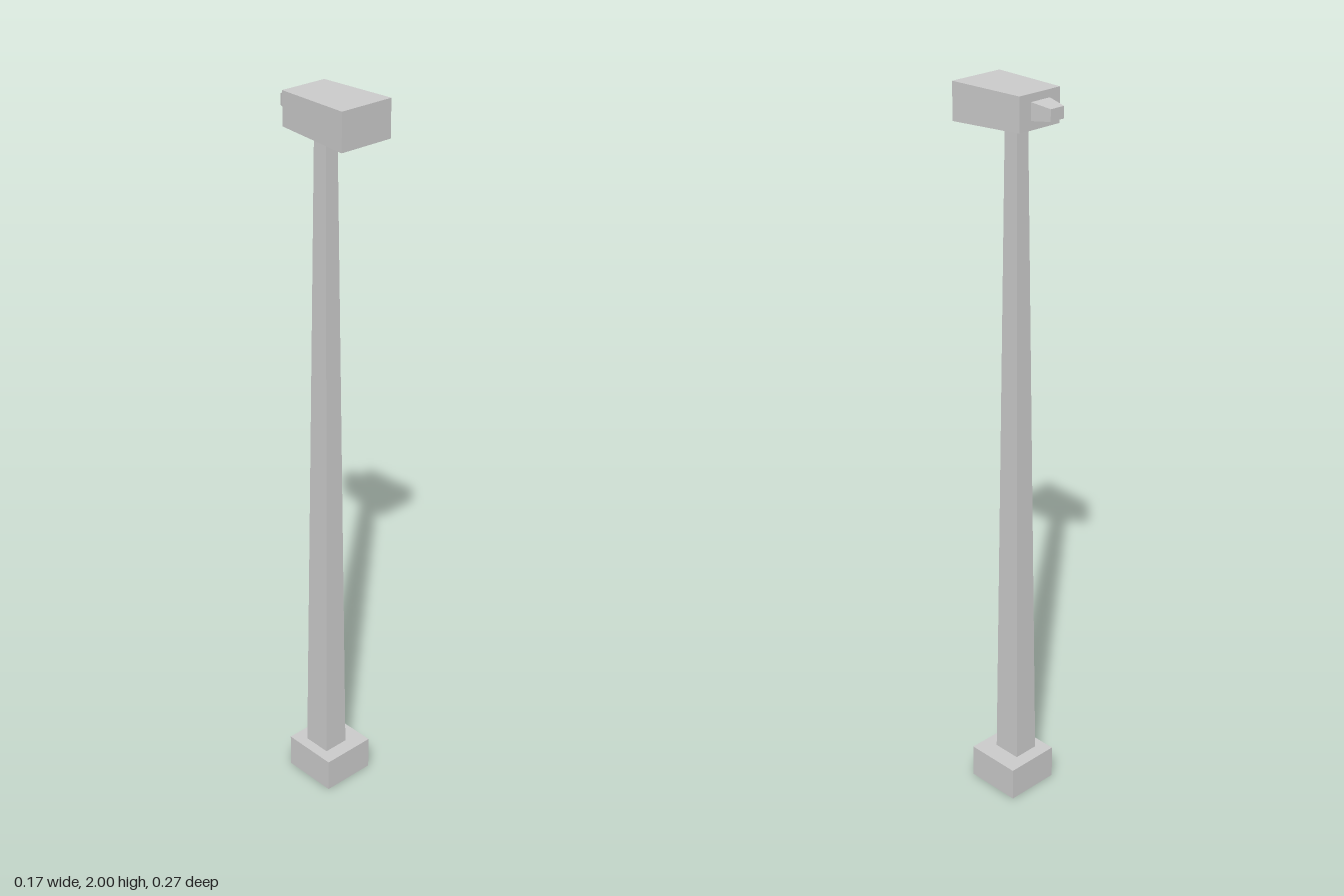
import * as THREE from 'three';

const material = new THREE.MeshStandardMaterial({ color: 0xcccccc, flatShading: true });

// Box whose two end rectangles differ. Each end is [at, uMin, uMax, vMin, vMax]:
// along y the rectangle spans x and z, along z it spans x and y.
function taperedBox(name, axis, low, high) {
  const geometry = new THREE.BoxGeometry(1, 1, 1);
  const p = geometry.attributes.position;
  const other = axis === 'y' ? 'z' : 'y';
  const v = new THREE.Vector3();
  for (let i = 0; i < p.count; i++) {
    v.fromBufferAttribute(p, i);
    const [at, uMin, uMax, vMin, vMax] = v[axis] < 0 ? low : high;
    v.x = v.x < 0 ? uMin : uMax;
    v[other] = v[other] < 0 ? vMin : vMax;
    v[axis] = at;
    p.setXYZ(i, v.x, v.y, v.z);
  }
  geometry.computeVertexNormals();
  const mesh = new THREE.Mesh(geometry, material);
  mesh.name = name;
  return mesh;
}

export function createModel() {
  const group = new THREE.Group();
  group.name = 'mallet';
  group.add(
    // Block at the foot of the shaft
    taperedBox('base', 'y', [0, -0.073, 0.084, -0.083, 0.078], [0.096, -0.073, 0.084, -0.083, 0.078]),
    // Long shaft, narrowing upwards into the head
    taperedBox('shaft', 'y', [0.09, -0.043, 0.031, -0.045, 0.037], [1.92, -0.024, 0.013, -0.026, 0.016]),
    // Head, slightly larger at the front
    taperedBox('head', 'z', [-0.081, -0.075, 0.06, 1.912, 2], [0.137, -0.087, 0.071, 1.902, 2]),
    // Small tapered stub on the back of the head
    taperedBox('backStub', 'z', [-0.137, -0.031, 0.013, 1.942, 1.972], [-0.081, -0.041, 0.022, 1.935, 1.98]),
  );
  return group;
}
